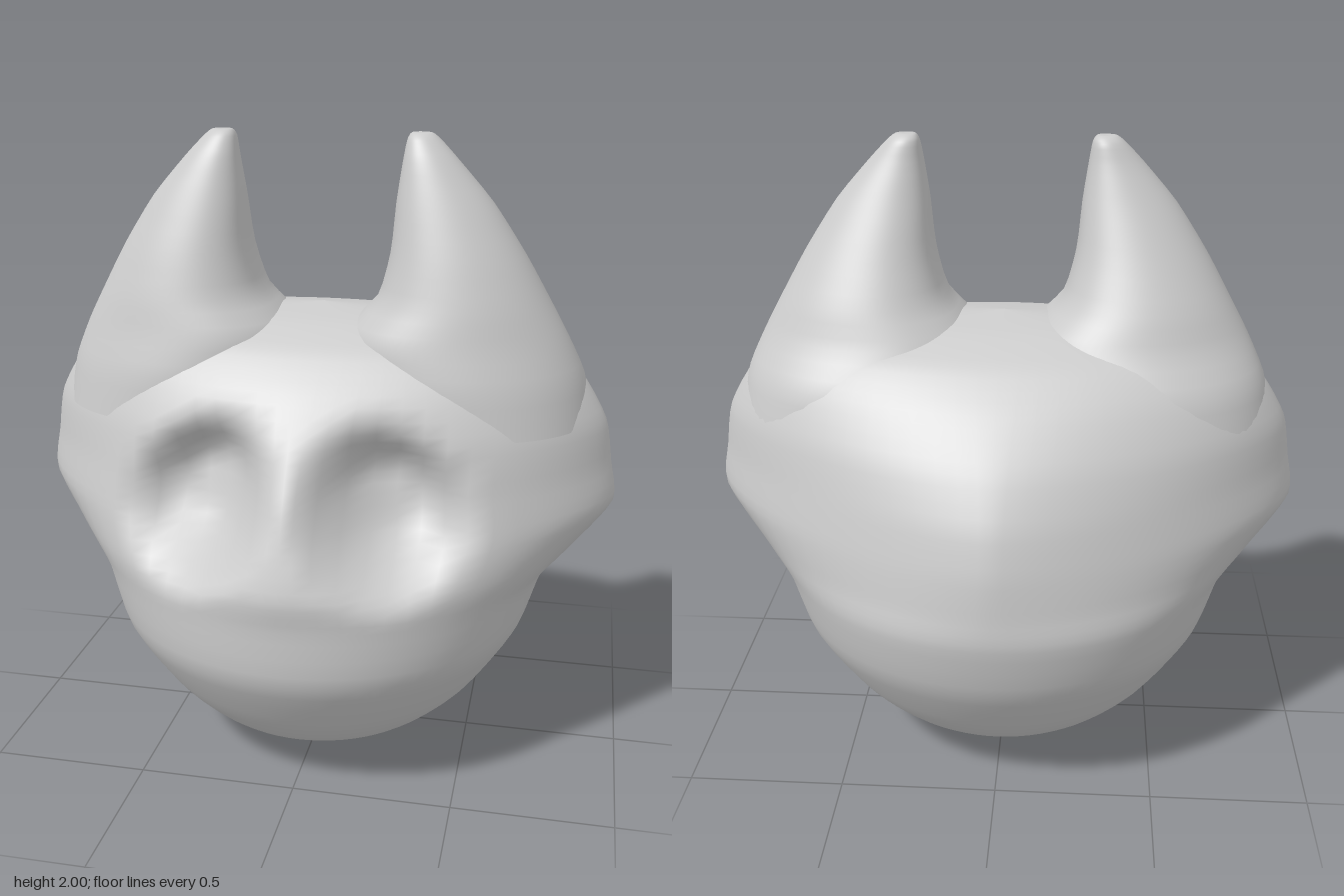
import * as THREE from 'three';

const SEG = 72;
const material = new THREE.MeshStandardMaterial({ color: 0xcccccc });

// Smooth skin over closed rings, listed from bottom to top
function skin(name, rows, pointAt) {
  const pos = [], index = [];
  for (let i = 0; i <= rows; i++)
    for (let j = 0; j < SEG; j++) pos.push(...pointAt(i / rows, (j / SEG) * Math.PI * 2));
  for (let i = 0; i < rows; i++)
    for (let j = 0; j < SEG; j++) {
      const a = i * SEG + j, b = i * SEG + ((j + 1) % SEG), c = a + SEG, d = b + SEG;
      index.push(a, b, d, a, d, c);
    }
  const g = new THREE.BufferGeometry();
  g.setAttribute('position', new THREE.Float32BufferAttribute(pos, 3));
  g.setIndex(index);
  g.computeVertexNormals();
  const mesh = new THREE.Mesh(g, material);
  mesh.name = name;
  return mesh;
}

const curve = (pts) => new THREE.CatmullRomCurve3(
  pts.map((p) => new THREE.Vector3(...p)), false, 'catmullrom', 0.35);
const power = (v, e) => Math.sign(v) * Math.abs(v) ** e;

// Head sections: y, half width, front depth, back depth, roundness (2 = ellipse)
const HEAD = [
  [0.0, 0.0, 0.0, 0.0, 2], [0.04, 0.23, 0.22, 0.2, 2], [0.13, 0.41, 0.42, 0.39, 2],
  [0.25, 0.54, 0.54, 0.51, 2], [0.45, 0.67, 0.665, 0.64, 2], [0.64, 0.735, 0.68, 0.69, 1.95],
  [0.74, 0.83, 0.69, 0.685, 1.7], [0.87, 0.935, 0.65, 0.67, 1.5], [1.0, 0.92, 0.6, 0.63, 1.5],
  [1.14, 0.895, 0.52, 0.55, 1.6], [1.28, 0.81, 0.41, 0.43, 1.8], [1.38, 0.68, 0.3, 0.31, 2],
  [1.44, 0.42, 0.17, 0.17, 2], [1.47, 0.0, 0.0, 0.0, 2],
];

// Ear sections: y, inner x, outer x, front z, back z
const EAR = [
  [1.14, 0.18, 0.85, 0.34, -0.34], [1.28, 0.1, 0.82, 0.335, -0.32],
  [1.4, 0.08, 0.765, 0.31, -0.25], [1.51, 0.18, 0.705, 0.28, -0.2],
  [1.65, 0.22, 0.625, 0.24, -0.13], [1.8, 0.235, 0.525, 0.19, -0.06],
  [1.92, 0.252, 0.42, 0.145, -0.01], [1.98, 0.262, 0.362, 0.11, 0.01],
  [2.0, 0.275, 0.335, 0.085, 0.035], [2.0, 0.305, 0.305, 0.06, 0.06],
];

function makeHead() {
  const front = curve(HEAD.map(([y, w, f]) => [w, y, f]));
  const back = curve(HEAD.map(([y, , , b, p]) => [p, y, b]));
  return skin('head', (HEAD.length - 1) * 4, (t, a) => {
    const A = front.getPoint(t), B = back.getPoint(t), e = 2 / B.x;
    const x = A.x * power(Math.sin(a), e), c = Math.cos(a);
    let z = (c > 0 ? A.z : B.z) * power(c, e);
    // Eye sockets, leaning outwards at the bottom, with a thin nose bridge between
    if (c > 0) {
      const dy = A.y - 0.96, dx = Math.abs(x) - 0.27 + dy * 0.2;
      const d = Math.hypot(dx / (dx < 0 ? 0.23 : 0.27), dy / 0.29);
      z -= 0.2 * THREE.MathUtils.smoothstep(1 - d, 0, 0.75);
    }
    return [x, A.y, z];
  });
}

function makeEar(name, side) {
  const inner = curve(EAR.map(([y, xi, , zf]) => [xi, y, zf]));
  const outer = curve(EAR.map(([y, , xo, , zb]) => [xo, y, zb]));
  return skin(name, (EAR.length - 1) * 3, (t, a) => {
    const I = inner.getPoint(t), O = outer.getPoint(t);
    // The thickest part sits towards the inner edge
    const u = ((Math.sin(a * side) + 1) / 2) ** 1.2;
    const x = THREE.MathUtils.lerp(I.x, O.x, u);
    const z = (I.z + O.z) / 2 + ((I.z - O.z) / 2) * Math.cos(a);
    return [side * x, I.y, z];
  });
}

export function createModel() {
  const model = new THREE.Group();
  model.name = 'hornedHead';
  model.add(makeHead(), makeEar('leftEar', 1), makeEar('rightEar', -1));
  return model;
}
